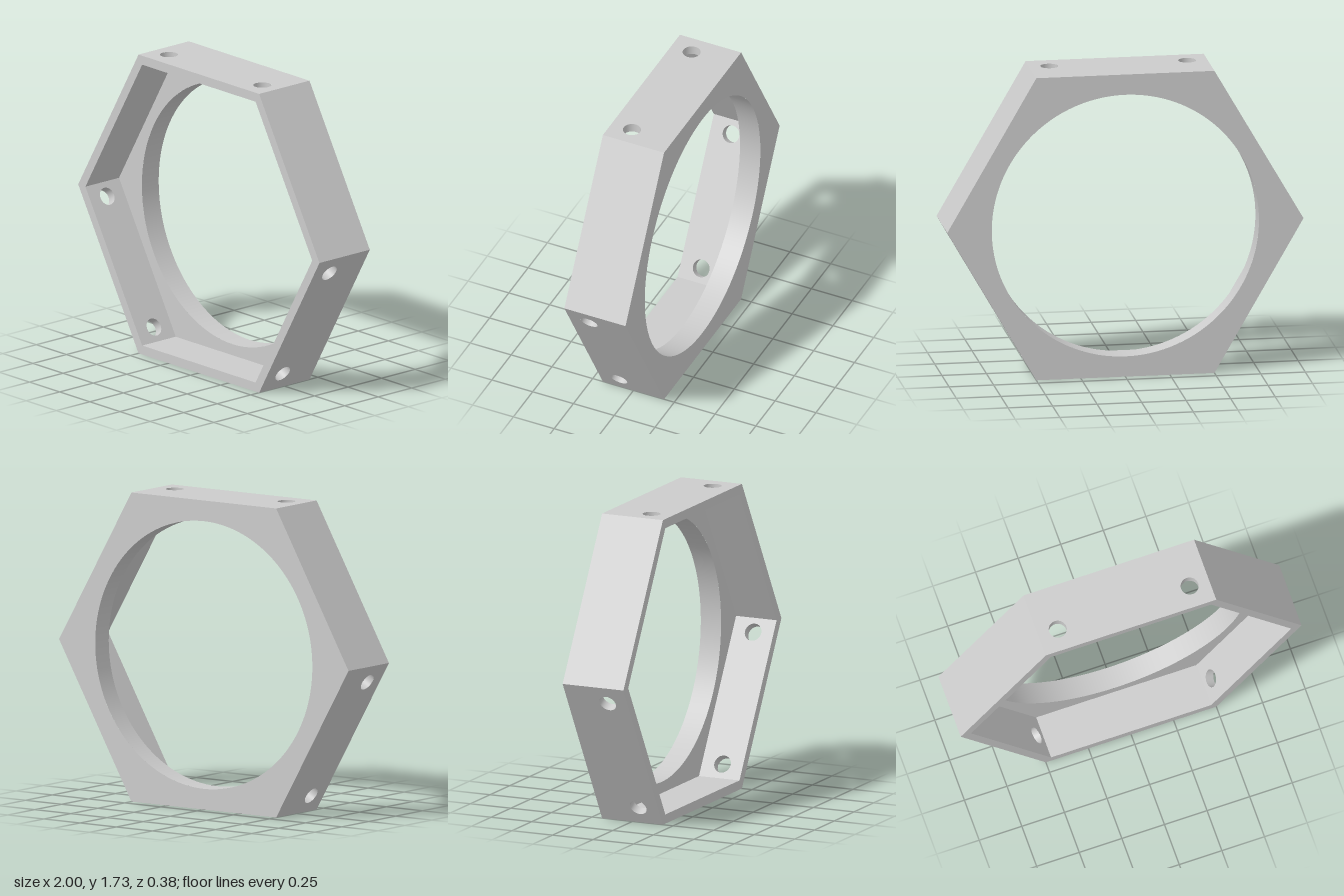
import * as THREE from 'three';
import { mergeGeometries } from 'three/addons/utils/BufferGeometryUtils.js';

const APOTHEM = Math.sqrt(3) / 2;  // outer hexagon, corner radius 1
const WALL = 0.052;                // wall thickness
const INNER = 1 - WALL / APOTHEM;  // inner hexagon corner radius
const BACK = -0.1875, FLOOR = -0.0625, FRONT = 0.1875;
const BORE = 0.75;                 // large round opening
const SCREW = { x: 0.387, z: 0.0625, r: 0.05 };

const polygon = (pts) => new THREE.Shape(pts.map(([x, y]) => new THREE.Vector2(x, y)));

function addHole(shape, x, y, r) {
  const hole = new THREE.Path();
  hole.absarc(x, y, r, 0, Math.PI * 2, true);
  shape.holes.push(hole);
}

// Open cylinder along y whose surface faces its axis
function boreSurface(r, length, segments) {
  const g = new THREE.CylinderGeometry(r, r, length, segments, 1, true);
  g.index.array.reverse();
  const n = g.attributes.normal;
  for (let i = 0; i < n.count; i++) n.setXYZ(i, -n.getX(i), -n.getY(i), -n.getZ(i));
  return g;
}

// Hexagonal plate face with the round opening
function ringFace(cornerRadius) {
  const pts = [];
  for (let i = 0; i < 6; i++) {
    const a = (i * Math.PI) / 3;
    pts.push([cornerRadius * Math.cos(a), cornerRadius * Math.sin(a)]);
  }
  const shape = polygon(pts);
  addHole(shape, 0, 0, BORE);
  return new THREE.ShapeGeometry(shape, 128);
}

// Back flange: rear face, recess floor and bore
function flangeGeometry() {
  return mergeGeometries([
    ringFace(1).rotateY(Math.PI).translate(0, 0, BACK),
    ringFace(INNER).translate(0, 0, FLOOR),
    boreSurface(BORE, FLOOR - BACK, 128).rotateX(Math.PI / 2).translate(0, 0, (BACK + FLOOR) / 2),
  ]);
}

// One mitred side wall, laid out as the top side of the hexagon
function wallGeometry(withHoles) {
  const half = 0.5, innerHalf = INNER / 2, inside = APOTHEM - WALL;
  // The outer face is drawn with -z upward, the inner face with +z upward
  const outer = polygon([[-half, -FRONT], [half, -FRONT], [half, -BACK], [-half, -BACK]]);
  const inner = polygon([[-innerHalf, FLOOR], [innerHalf, FLOOR], [innerHalf, FRONT], [-innerHalf, FRONT]]);
  const rim = polygon([[-innerHalf, inside], [innerHalf, inside], [half, APOTHEM], [-half, APOTHEM]]);
  const parts = [];
  if (withHoles) {
    for (const x of [-SCREW.x, SCREW.x]) {
      addHole(outer, x, -SCREW.z, SCREW.r);
      addHole(inner, x, SCREW.z, SCREW.r);
      parts.push(boreSurface(SCREW.r, WALL, 48).translate(x, APOTHEM - WALL / 2, SCREW.z));
    }
  }
  parts.push(
    new THREE.ShapeGeometry(outer, 48).rotateX(-Math.PI / 2).translate(0, APOTHEM, 0),
    new THREE.ShapeGeometry(inner, 48).rotateX(Math.PI / 2).translate(0, inside, 0),
    new THREE.ShapeGeometry(rim).translate(0, 0, FRONT),
  );
  return mergeGeometries(parts);
}

export function createModel() {
  const group = new THREE.Group();
  group.name = 'hexagonalFrame';
  const material = new THREE.MeshStandardMaterial({ color: 0xcccccc });

  const add = (name, geometry) => {
    const mesh = new THREE.Mesh(geometry, material);
    mesh.name = name;
    mesh.position.y = APOTHEM;
    group.add(mesh);
    return mesh;
  };

  add('backFlange', flangeGeometry());

  // Every other wall, starting at the top, carries two screw holes
  const names = ['topWall', 'upperRightWall', 'lowerRightWall', 'bottomWall', 'lowerLeftWall', 'upperLeftWall'];
  const drilled = wallGeometry(true), plain = wallGeometry(false);
  names.forEach((name, i) => {
    add(name, i % 2 === 0 ? drilled : plain).rotation.z = (i * Math.PI) / 3;
  });

  return group;
}
